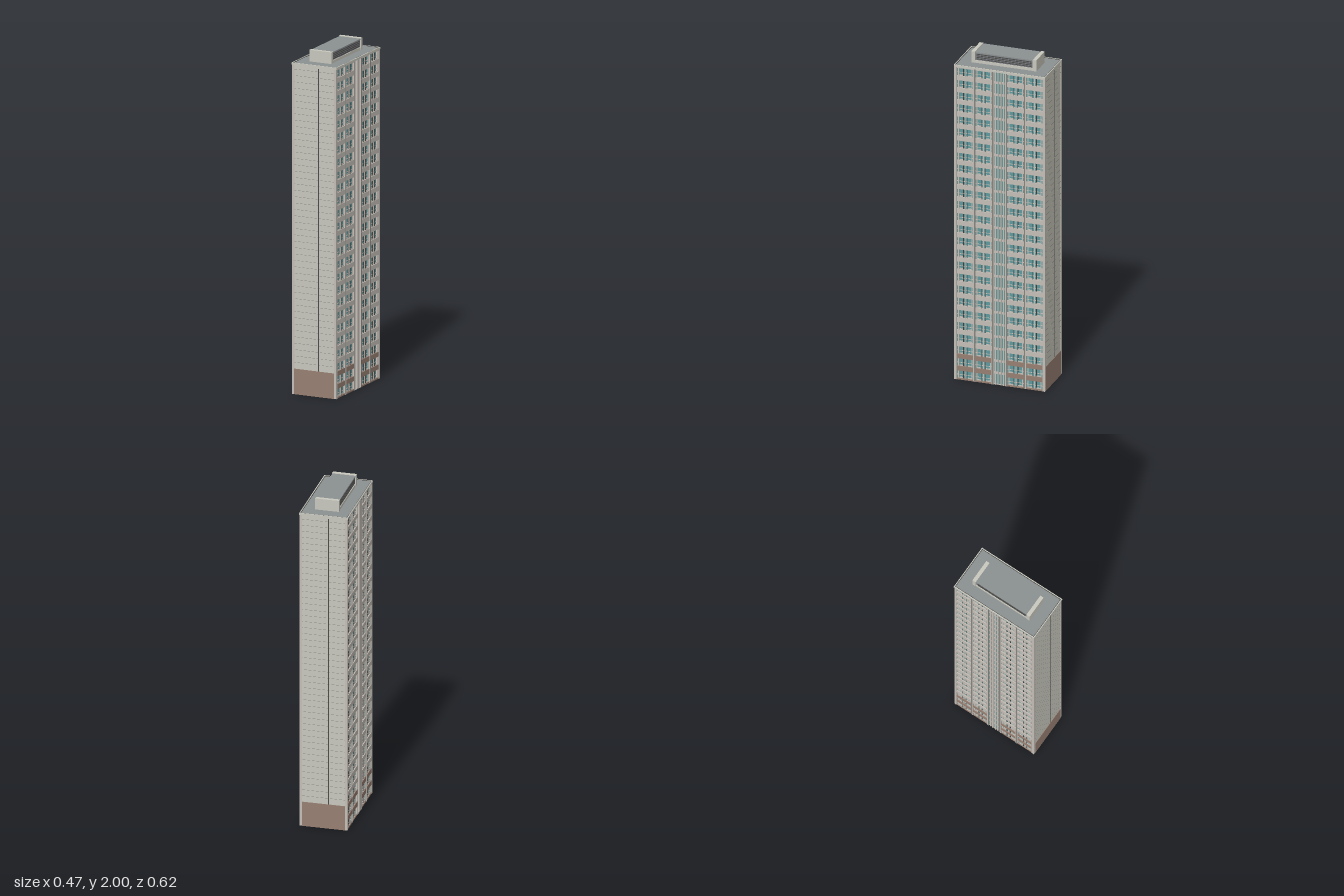
import * as THREE from 'three';
import { mergeGeometries } from 'three/addons/utils/BufferGeometryUtils.js';

const mat = (name, color) => {
  const m = new THREE.MeshStandardMaterial({ color });
  m.name = name;
  return m;
};

// Box from min/max ranges on each axis
const box = (x0, x1, y0, y1, z0, z1) =>
  new THREE.BoxGeometry(x1 - x0, y1 - y0, z1 - z0)
    .translate((x0 + x1) / 2, (y0 + y1) / 2, (z0 + z1) / 2);

const part = (group, name, material, boxes) => {
  const mesh = new THREE.Mesh(mergeGeometries(boxes), material);
  mesh.name = name;
  group.add(mesh);
};

export function createModel() {
  const concrete = mat('concrete', 0xc8c8be);
  const frame = mat('facade frame', 0xc4beb6);
  const glass = mat('teal glass', 0x5f9a9e);
  const brown = mat('brown cladding', 0x977f72);
  const roofGrey = mat('roof grey', 0x8b9090);
  const dark = mat('dark joint', 0x4a4a48);
  const jointGrey = mat('grey joint', 0x8f8f8a);
  const louvre = mat('louvre grey', 0x7c7e84);

  const H = 1.935, floors = 26, step = H / floors, base = 2 * step;
  const tower = new THREE.Group();
  tower.name = 'tower';

  // Core block carrying the end walls
  part(tower, 'coreBlock', concrete, [box(-0.128, 0.128, 0, H - 0.01, -0.271, 0.271)]);

  // One long window facade facing +x
  const facade = new THREE.Group();
  facade.name = 'windowFacade';
  part(facade, 'glazing', glass, [box(0.127, 0.131, 0.005, H - 0.01, -0.262, 0.262)]);

  const bays = [[-0.258, -0.159], [-0.147, -0.045], [0.047, 0.147], [0.159, 0.258]];
  const piers = [[-0.273, -0.258], [-0.159, -0.147], [-0.045, -0.034],
    [0.036, 0.047], [0.147, 0.159], [0.258, 0.273]];
  part(facade, 'piers', frame, piers.map(([a, b]) => box(0.126, 0.14, 0, H - 0.01, a, b)));
  part(facade, 'pierJoints', dark,
    [-0.153, -0.04, 0.041, 0.153].map(z => box(0.139, 0.141, 0, H - 0.01, z - 0.0015, z + 0.0015)));

  const spandrels = [], baseSpandrels = [], rails = [], transoms = [], stairSpandrels = [];
  for (let i = 0; i <= floors; i++) {
    const y = i * step;
    const y0 = Math.max(0, y - 0.019), y1 = Math.min(H - 0.01, y + 0.009);
    for (const [a, b] of bays) {
      (i <= 2 ? baseSpandrels : spandrels).push(box(0.127, 0.138, y0, y1, a, b));
      if (i === floors) continue;
      transoms.push(box(0.13, 0.133, y + 0.028, y + 0.031, a, b));
      // Low white panels beside the opening lights
      for (const c of [a + 0.012, (a + b) / 2 + 0.012])
        rails.push(box(0.13, 0.1335, y + 0.009, y + 0.016, c, c + 0.026));
    }
    stairSpandrels.push(box(0.127, 0.134, Math.max(0, y - 0.01), Math.min(H - 0.01, y + 0.004), -0.034, 0.036));
  }
  part(facade, 'floorBands', frame, spandrels);
  part(facade, 'baseFloorBands', brown, baseSpandrels);
  part(facade, 'windowTransoms', frame, transoms);
  part(facade, 'windowPanels', frame, rails);
  part(facade, 'stairBands', frame, stairSpandrels);

  // Vertical window bars run behind the floor bands
  const pale = [], black = [];
  for (const [a, b] of bays) {
    const w = b - a;
    for (const t of [0.1, 0.5, 0.9])
      pale.push(box(0.13, 0.135, 0, H - 0.012, a + w * t - 0.003, a + w * t + 0.003));
    for (const t of [0.38, 0.62])
      black.push(box(0.13, 0.134, 0, H - 0.012, a + w * t - 0.0015, a + w * t + 0.0015));
  }
  part(facade, 'paleMullions', frame, pale);
  part(facade, 'darkMullions', dark, black);
  part(facade, 'stairFins', frame,
    [-0.024, -0.008, 0.01, 0.026].map(z => box(0.13, 0.139, 0, H - 0.012, z - 0.004, z + 0.004)));

  // One blank end wall facing +z
  const end = new THREE.Group();
  end.name = 'endWall';
  part(end, 'wallPanel', concrete, [box(-0.139, 0.139, 0, H - 0.01, 0.26, 0.272)]);
  part(end, 'verticalJoint', dark, [box(0.026, 0.031, base, H - 0.02, 0.271, 0.2735)]);
  part(end, 'baseCladding', brown, [box(-0.126, 0.126, 0, base, 0.271, 0.2745)]);
  const joints = [];
  for (let y = base + step / 2; y < H - 0.02; y += step / 2)
    joints.push(box(-0.126, 0.126, y - 0.0008, y + 0.0008, 0.271, 0.2725));
  part(end, 'panelJoints', jointGrey, joints);

  // Both fronts repeat on the opposite side
  for (const side of [facade, end]) {
    const opposite = side.clone();
    opposite.rotation.y = Math.PI;
    tower.add(side, opposite);
  }

  // Roof deck with low parapet
  part(tower, 'roofDeck', roofGrey, [box(-0.138, 0.138, H - 0.014, H - 0.003, -0.27, 0.27)]);
  part(tower, 'parapet', concrete, [
    box(-0.1425, -0.137, H - 0.012, H, -0.275, 0.275),
    box(0.137, 0.1425, H - 0.012, H, -0.275, 0.275),
    box(-0.137, 0.137, H - 0.012, H, -0.275, -0.27),
    box(-0.137, 0.137, H - 0.012, H, 0.27, 0.275),
  ]);
  part(tower, 'parapetJoint', dark, [-1, 1].flatMap(s => [
    box(s * 0.1355 - 0.0015, s * 0.1355 + 0.0015, H - 0.01, H - 0.001, -0.27, 0.27),
    box(-0.135, 0.135, H - 0.01, H - 0.001, s * 0.2685 - 0.0015, s * 0.2685 + 0.0015),
  ]));

  // Rooftop plant room: end slabs, roof and louvred sides
  part(tower, 'plantRoomEnds', concrete, [-1, 1].map(s =>
    box(-0.07, 0.07, H - 0.005, 2, s * 0.185 - 0.011, s * 0.185 + 0.011)));
  part(tower, 'plantRoomRoof', roofGrey, [box(-0.068, 0.068, 1.99, 1.997, -0.175, 0.175)]);
  part(tower, 'plantRoomSides', louvre, [box(-0.064, 0.064, H - 0.005, 1.991, -0.175, 0.175)]);
  part(tower, 'plantRoomSill', concrete, [box(-0.068, 0.068, H - 0.005, 1.948, -0.175, 0.175)]);
  const slats = [];
  for (let i = 0; i < 4; i++) {
    const y = 1.954 + i * 0.0095;
    slats.push(box(-0.0665, 0.0665, y, y + 0.004, -0.165, 0.165));
  }
  part(tower, 'louvreSlats', dark, slats);

  // The block stands turned on its plot
  tower.rotation.y = -0.377;
  const model = new THREE.Group();
  model.name = 'towerBlock';
  model.add(tower);
  return model;
}
